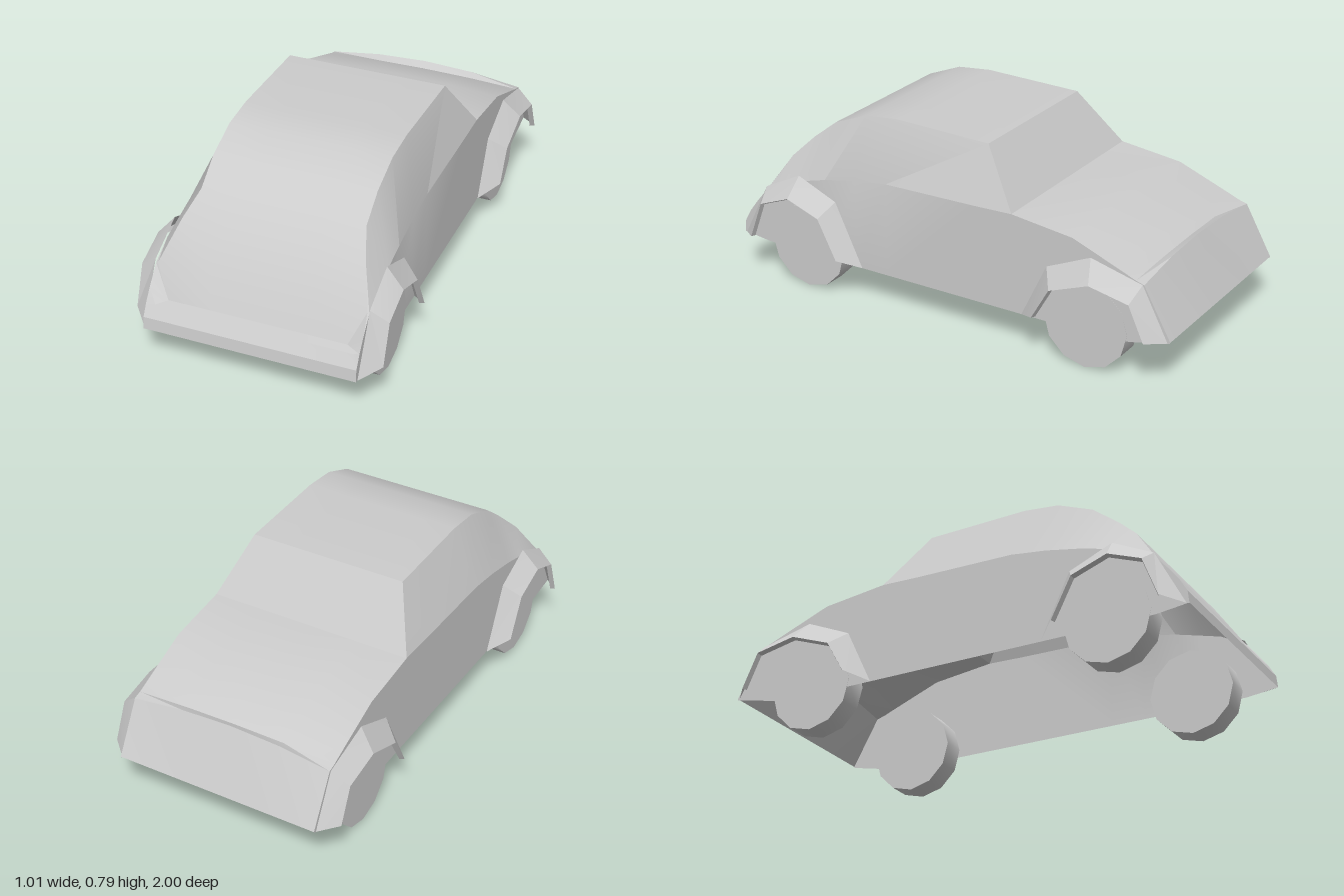
import * as THREE from 'three';
import { toCreasedNormals } from 'three/addons/utils/BufferGeometryUtils.js';

const material = new THREE.MeshStandardMaterial({ color: 0xcccccc, side: THREE.DoubleSide });

// Skin a grid of points (rows of equal length)
function loft(rows, crease) {
  const n = rows[0].length, index = [];
  for (let r = 0; r < rows.length - 1; r++) {
    for (let c = 0; c < n - 1; c++) {
      const a = r * n + c, b = a + 1, d = a + n, e = d + 1;
      index.push(a, d, b, b, d, e);
    }
  }
  const g = new THREE.BufferGeometry();
  g.setAttribute('position', new THREE.Float32BufferAttribute(rows.flat(2), 3));
  g.setIndex(index);
  return toCreasedNormals(g, crease);
}

function add(parent, name, geometry) {
  const mesh = new THREE.Mesh(geometry, material);
  mesh.name = name;
  parent.add(mesh);
  return mesh;
}

const W = 0.433; // half width of the lower body

// Cross-section: sill, waist, roof edge, crowned centre, mirrored
function section({ z, top, x = W, waist = top, sill = 0.147, crown = 0, zs = z }) {
  const shift = 0.01 * (W - x) / 0.098;
  const pts = [[W, sill, zs], [W, waist, z], [x + shift, top, z]];
  for (const t of [0.5, 0, -0.5]) pts.push([x * t + shift, top + crown * (1 - t * t), z]);
  pts.push([-x + shift, top, z], [-W, waist, z], [-W, sill, zs]);
  return pts;
}

// Arched fender: flared from the body to an outer rim, with a thin turned lip
function fender(inner, outer, side) {
  const cz = outer[2][0];
  const ring = (pts, x, k = 1) => pts.map(([z, y]) => [side * x, 0.15 + (y - 0.15) * k, cz + (z - cz) * k]);
  return loft([ring(inner, 0.435), ring(outer, 0.505), ring(outer, 0.485, 0.97)], 0.2);
}

export function createModel() {
  const car = new THREE.Group();
  car.name = 'car';

  // Hollow body shell, from the nose panel over the cabin to the sloping tail
  const stations = [
    { z: -1.0, top: 0.205, sill: 0.2 },
    { z: -0.885, top: 0.41, crown: 0.04, sill: 0.175 },
    { z: -0.85, top: 0.42, crown: 0.012, sill: 0.165 },
    { z: -0.8, top: 0.44, crown: 0.02, sill: 0.155 },
    { z: -0.58, top: 0.525, crown: 0.015 },
    { z: -0.312, top: 0.557 },
    { z: -0.155, top: 0.78, x: 0.335, waist: 0.552 },
    { z: 0.27, top: 0.79, x: 0.335, waist: 0.545 },
    { z: 0.42, top: 0.775, x: 0.335, waist: 0.525 },
    { z: 0.57, top: 0.715, x: 0.335, waist: 0.495 },
    { z: 0.68, top: 0.63, x: 0.335, waist: 0.465 },
    { z: 0.77, top: 0.54, x: 0.372, waist: 0.44 },
    { z: 0.87, top: 0.39, x: 0.425, waist: 0.385, sill: 0.15 },
    { z: 0.93, top: 0.27, x: 0.365, waist: 0.315, sill: 0.157 },
    { z: 0.965, top: 0.262, x: 0.4, waist: 0.268, sill: 0.161 },
    { z: 0.995, top: 0.215, sill: 0.165 },
    { z: 1.0, top: 0.165, sill: 0.164 },
  ];
  add(car, 'bodyShell', loft(stations.map(section), 0.36));

  // Fender arches as [z, y] points: edge on the body, then outer rim
  const tailInner = [[0.99, 0.165], [0.87, 0.4], [0.7, 0.485], [0.52, 0.41], [0.395, 0.148]];
  const tailOuter = [[0.91, 0.19], [0.85, 0.35], [0.71, 0.405], [0.56, 0.352], [0.475, 0.187]];
  const noseInner = [[-0.36, 0.148], [-0.47, 0.38], [-0.66, 0.465], [-0.88, 0.41], [-0.99, 0.2]];
  const noseOuter = [[-0.445, 0.187], [-0.52, 0.32], [-0.69, 0.385], [-0.86, 0.352], [-0.925, 0.21]];

  const tire = new THREE.CylinderGeometry(0.18, 0.18, 0.1, 12).rotateZ(Math.PI / 2);
  const wheelGeometry = toCreasedNormals(tire, 0.6);
  for (const [side, label] of [[1, 'Left'], [-1, 'Right']]) {
    add(car, 'tailFender' + label, fender(tailInner, tailOuter, side));
    add(car, 'noseFender' + label, fender(noseInner, noseOuter, side));
    for (const [name, z] of [['tailWheel', 0.67], ['noseWheel', -0.64]]) {
      add(car, name + label, wheelGeometry).position.set(side * 0.384, 0.18, z);
    }
  }
  return car;
}
